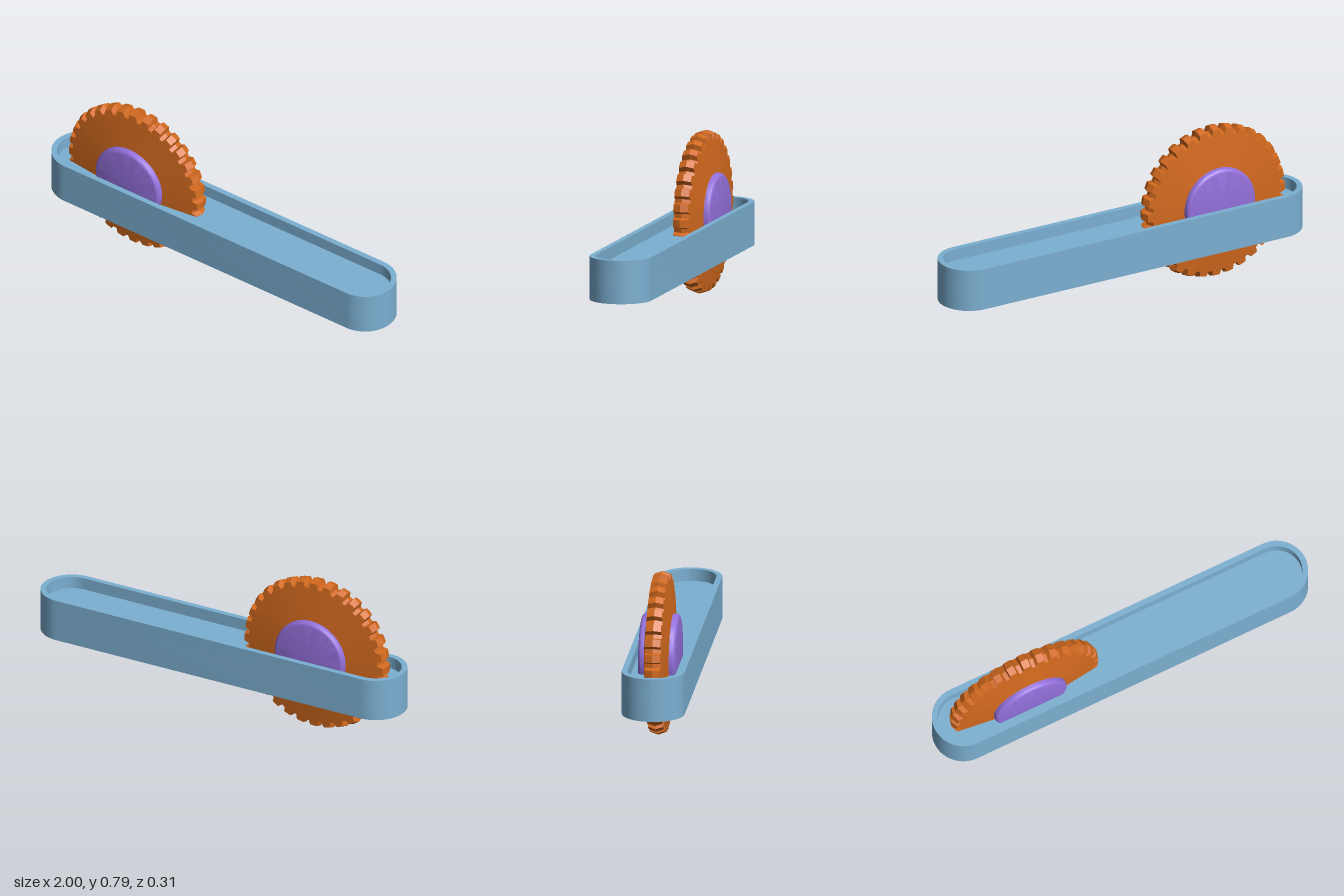
import * as THREE from 'three';
import { toCreasedNormals } from 'three/addons/utils/BufferGeometryUtils.js';

const BLUE = 0x7cb0d2, ORANGE = 0xd2691e, PURPLE = 0x9370db;
const AXLE = { x: -0.52, y: 0.4 };

function addMesh(parent, name, geometry, color, flatShading = false) {
  const mesh = new THREE.Mesh(geometry, new THREE.MeshStandardMaterial({ color, flatShading }));
  mesh.name = name;
  parent.add(mesh);
  return mesh;
}

// Long outline with half-round ends
function stadium(PathType, halfLength, radius) {
  const path = new PathType(), s = halfLength - radius;
  path.absarc(s, 0, radius, -Math.PI / 2, Math.PI / 2);
  path.absarc(-s, 0, radius, Math.PI / 2, Math.PI * 1.5);
  path.closePath();
  return path;
}

// Extrude a plan outline upwards between two heights
function slab(shape, y0, y1) {
  const g = new THREE.ExtrudeGeometry(shape, { depth: y1 - y0, bevelEnabled: false, curveSegments: 24 });
  g.rotateX(-Math.PI / 2).translate(0, y0, 0);
  return toCreasedNormals(g, 0.6);
}

// Toothed disc, thin at the rim, with a ridge along the middle of the teeth
function toothedDisc(teeth) {
  const tip = 0.384, root = 0.358, inner = 0.15;
  const coneZ = (r) => 0.037 + (tip - r) * 0.122;
  const steps = [[-0.36, root], [-0.24, tip], [0.24, tip], [0.36, root]];
  const outline = [];
  for (let t = 0; t < teeth; t++) {
    for (const [offset, r] of steps) {
      outline.push([Math.PI / 2 + ((t + offset) / teeth) * Math.PI * 2, r]);
    }
  }
  const n = outline.length, positions = [], index = [];
  // Rings from the front centre over the rim to the back centre
  const rings = [
    () => [0, coneZ(inner)],
    () => [inner, coneZ(inner)],
    (r) => [r, coneZ(r)],
    (r) => [r + 0.013, 0],
    (r) => [r, -coneZ(r)],
    () => [inner, -coneZ(inner)],
    () => [0, -coneZ(inner)],
  ];
  rings.forEach((ring, k) => {
    outline.forEach(([angle, r], i) => {
      const [radius, z] = ring(r);
      positions.push(radius * Math.cos(angle), radius * Math.sin(angle), z);
      if (k === rings.length - 1) return;
      const a = k * n + i, b = k * n + ((i + 1) % n);
      if (k < rings.length - 2) index.push(a, a + n, b + n);
      if (k > 0) index.push(a, b + n, b);
    });
  });
  const g = new THREE.BufferGeometry();
  g.setAttribute('position', new THREE.Float32BufferAttribute(positions, 3));
  g.setIndex(index);
  g.computeVertexNormals();
  return g;
}

// Round hub with softened edges, turned about the z axis
function hubGeometry() {
  const radius = 0.193, half = 0.091, soft = 0.02;
  const points = [new THREE.Vector2(0, -half)];
  for (const side of [-1, 1]) {
    for (let i = 0; i <= 6; i++) {
      const a = (side < 0 ? -Math.PI / 2 : 0) + (i / 6) * (Math.PI / 2);
      points.push(new THREE.Vector2(
        radius - soft + soft * Math.cos(a), side * (half - soft) + soft * Math.sin(a)));
    }
  }
  points.push(new THREE.Vector2(0, half));
  return toCreasedNormals(new THREE.LatheGeometry(points, 64).rotateX(Math.PI / 2), 0.5);
}

export function createModel() {
  const model = new THREE.Group();
  model.name = 'wheeledBoard';

  // Shallow tray: solid deck with a raised rim
  const tray = new THREE.Group();
  tray.name = 'tray';
  model.add(tray);
  addMesh(tray, 'deck', slab(stadium(THREE.Shape, 1, 0.153), 0.187, 0.34), BLUE);
  const rim = stadium(THREE.Shape, 1, 0.153);
  rim.holes.push(stadium(THREE.Path, 0.972, 0.125));
  addMesh(tray, 'rim', slab(rim, 0.34, 0.4), BLUE);

  // Wheel standing through the tray near one end
  const wheel = new THREE.Group();
  wheel.name = 'wheel';
  wheel.position.set(AXLE.x, AXLE.y, 0);
  model.add(wheel);
  addMesh(wheel, 'toothedTyre', toothedDisc(32), ORANGE, true);
  addMesh(wheel, 'hub', hubGeometry(), PURPLE);

  return model;
}
